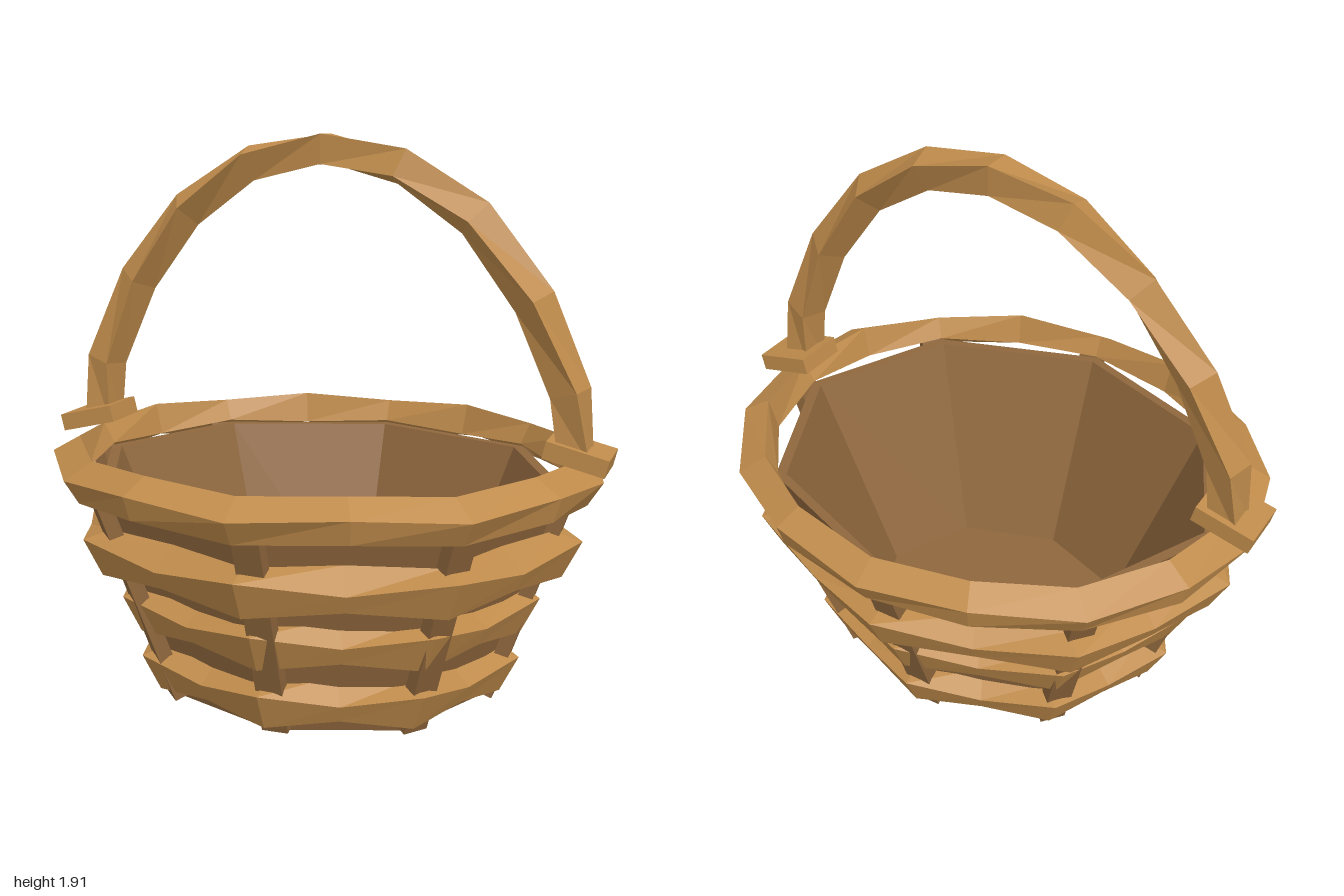
import * as THREE from 'three';

const DEPTH = 0.865; // the basket is slightly oval

// Skin a list of cross-sections (each a loop of points) into a flat-faced surface.
function loft(sections, closed) {
  const pos = [];
  const n = sections.length;
  const m = sections[0].length;
  for (let i = 0; i < (closed ? n : n - 1); i++) {
    const A = sections[i];
    const B = sections[(i + 1) % n];
    for (let j = 0; j < m; j++) {
      const k = (j + 1) % m;
      for (const p of [A[j], B[j], B[k], A[j], B[k], A[k]]) pos.push(p[0], p[1], p[2]);
    }
  }
  const g = new THREE.BufferGeometry();
  g.setAttribute('position', new THREE.Float32BufferAttribute(pos, 3));
  g.computeVertexNormals();
  return g;
}

// A 16-sided oval band alternating between two [radius, height] sections.
function ringBand(even, odd) {
  const sections = [];
  for (let i = 0; i < 16; i++) {
    const a = (i / 16) * Math.PI * 2;
    sections.push((i % 2 ? odd : even).map(([r, y]) => [r * Math.sin(a), y, r * Math.cos(a) * DEPTH]));
  }
  return loft(sections, true);
}

export function createModel() {
  const group = new THREE.Group();
  const wicker = new THREE.MeshStandardMaterial({ color: 0xbf8b4b, flatShading: true });
  wicker.name = 'light wicker';
  const wood = new THREE.MeshStandardMaterial({ color: 0x8f673d, flatShading: true });
  wood.name = 'dark wood';

  const add = (name, geometry, material, parent = group) => {
    const mesh = new THREE.Mesh(geometry, material);
    mesh.name = name;
    parent.add(mesh);
    return mesh;
  };

  // Eight-sided bowl with thick walls
  const profile = [[0, 0], [0.57, 0], [0.84, 0.78], [0.8, 0.78], [0.485, 0.06], [0, 0.06]];
  const bowl = add('bowl', new THREE.LatheGeometry(profile.map(p => new THREE.Vector2(...p)), 8), wood);
  bowl.scale.z = DEPTH;

  // Upright stakes leaning along the bowl corners
  const stakes = new THREE.Group();
  stakes.name = 'stakes';
  group.add(stakes);
  for (let i = 0; i < 8; i++) {
    const a = (i / 8) * Math.PI * 2 + 0.04;
    const x = 0.735 * Math.sin(a);
    const z = 0.735 * Math.cos(a) * DEPTH;
    const holder = new THREE.Group();
    holder.rotation.y = Math.atan2(x, z);
    stakes.add(holder);
    const stake = add('stake', new THREE.BoxGeometry(0.09, 0.83, 0.05), wood, holder);
    stake.position.set(0, 0.41, Math.hypot(x, z));
    stake.rotation.x = 0.335;
  }

  // Woven bands: bulge over the stakes, tuck in between them
  [[0.71, 0.115], [0.775, 0.335], [0.91, 0.55]].forEach(([R, y], i) => {
    const even = [[R - 0.065, y - 0.08], [R, y + 0.05], [R - 0.1, y + 0.075], [R - 0.12, y - 0.05]];
    const odd = [[R - 0.1, y - 0.05], [R - 0.07, y + 0.01], [R - 0.16, y + 0.085], [R - 0.17, y - 0.03]];
    add('wovenBand' + (i + 1), ringBand(even, odd), wicker);
  });

  // Rim
  add('rim', ringBand(
    [[0.92, 0.725], [0.97, 0.805], [0.87, 0.865], [0.83, 0.79]],
    [[0.94, 0.75], [0.965, 0.83], [0.87, 0.882], [0.84, 0.77]]
  ), wicker);

  // Arched handle with a slowly twisting square section: [x, y, z]
  const path = [
    [-0.88, 0.88, -0.02], [-0.865, 1.1, -0.03], [-0.735, 1.4, -0.05], [-0.535, 1.65, -0.052],
    [-0.28, 1.815, -0.035], [0, 1.865, -0.012], [0.275, 1.81, 0.01], [0.53, 1.65, 0.03],
    [0.73, 1.39, 0.032], [0.855, 1.1, 0.025], [0.88, 0.88, 0.02],
  ];
  const last = path.length - 1;
  const handleSections = path.map(([x, y, z], i) => {
    const p = path[Math.max(0, i - 1)];
    const q = path[Math.min(last, i + 1)];
    const len = Math.hypot(q[0] - p[0], q[1] - p[1]);
    const nx = -(q[1] - p[1]) / len;
    const ny = (q[0] - p[0]) / len;
    return [0, 1, 2, 3].map(j => {
      const a = Math.PI / 4 + j * Math.PI / 2 + (i / last) * Math.PI;
      const c = 0.07 * Math.cos(a);
      return [x + nx * c, y + ny * c, z - 0.07 * Math.sin(a)];
    });
  });
  add('handle', loft(handleSections, false), wicker);

  // Plates joining handle and rim
  for (const s of [-1, 1]) {
    const plate = add(s > 0 ? 'leftHandlePlate' : 'rightHandlePlate', new THREE.BoxGeometry(0.21, 0.06, 0.185), wicker);
    plate.position.set(s * 0.889, 0.897, 0);
    plate.rotation.z = -s * 0.235;
  }
  return group;
}
